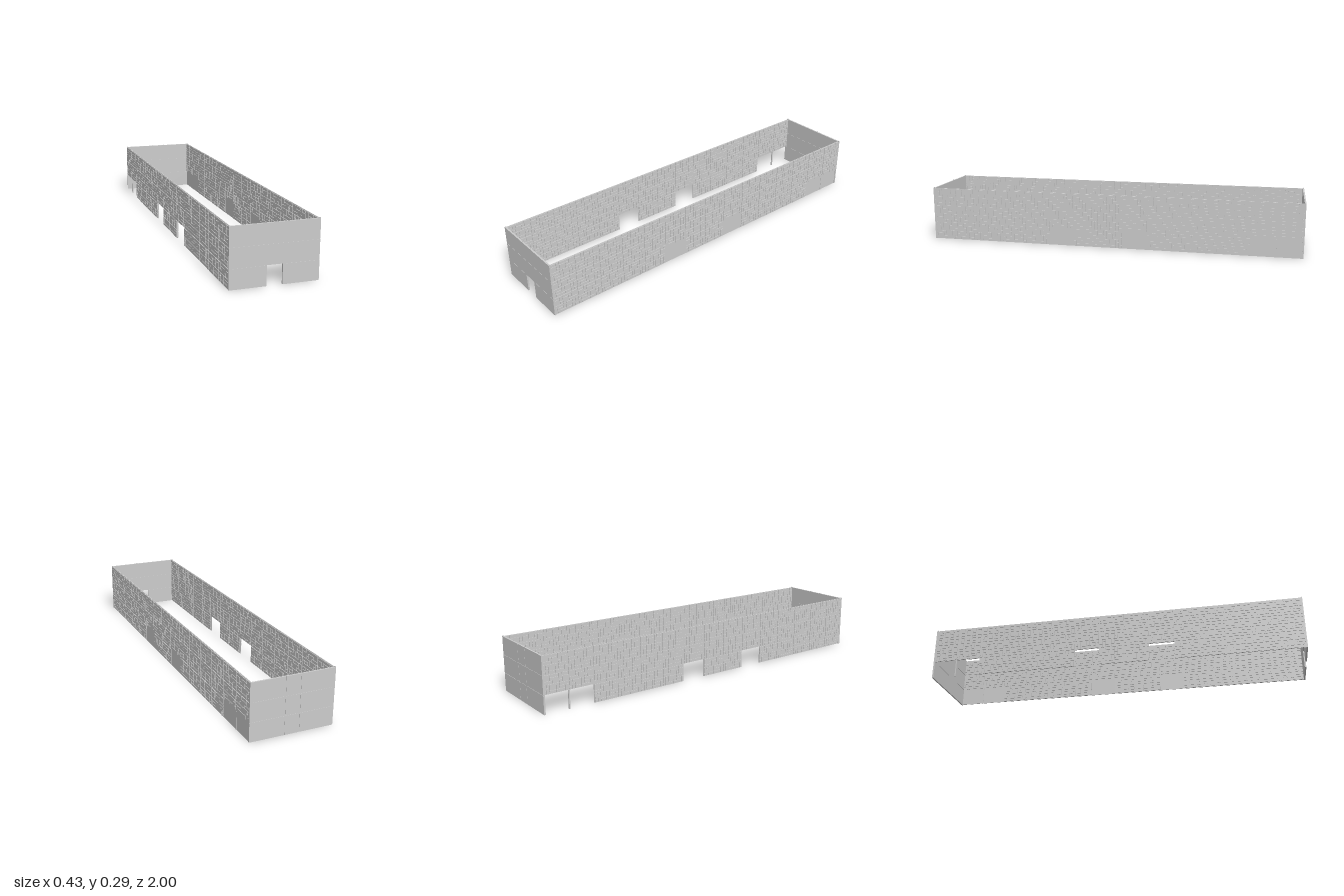
import * as THREE from 'three';
import { mergeGeometries } from 'three/addons/utils/BufferGeometryUtils.js';

const material = new THREE.MeshStandardMaterial({ color: 0xcccccc, flatShading: true });

const HALF_X = 0.2125, HEIGHT = 0.285;      // outer half width, wall height
const COLS = 15, ROWS = 3;                  // tiles along a side wall
const TILE_W = 2 / COLS, TILE_H = HEIGHT / ROWS;
const CORE_OUT = 0.209, CORE_IN = 0.2055, RELIEF = 0.0035;

// Stone layout of one tile: equal letters form one rectangular block
const LAYOUT = [
  'AABCCCDD',
  'EEBFFGDD',
  'EEHFFIII',
  'JJJKLLMN',
  'OPPKLLQN',
  'ORRRSSQT',
];

function box(x0, x1, y0, y1, z0, z1) {
  return new THREE.BoxGeometry(x1 - x0, y1 - y0, z1 - z0)
    .translate((x0 + x1) / 2, (y0 + y1) / 2, (z0 + z1) / 2);
}

function addMesh(group, name, boxes) {
  const mesh = new THREE.Mesh(mergeGeometries(boxes), material);
  mesh.name = name;
  group.add(mesh);
}

// Turn the letter layout into rectangles
function readBlocks() {
  const blocks = {};
  LAYOUT.forEach((line, r) => [...line].forEach((key, c) => {
    const b = blocks[key] ??= { c0: c, c1: c + 1, r0: r, r1: r + 1 };
    b.c1 = Math.max(b.c1, c + 1);
    b.r1 = Math.max(b.r1, r + 1);
  }));
  return Object.values(blocks);
}

// Bottom tiles left open, counted from the front
const isOpening = (col, row) => row === 0 && [5, 8, 13, 14].includes(col);

function makeSideWall(name, side, filled) {
  const wall = new THREE.Group();
  wall.name = name;
  const blocks = readBlocks();
  const cores = [], stones = [], panels = [];
  const cw = (TILE_W - 0.003) / LAYOUT[0].length;
  const ch = (TILE_H - 0.002) / LAYOUT.length;
  const gap = 0.0012;
  const across = (a, b) => side > 0 ? [a, b] : [-b, -a];

  for (let col = 0; col < COLS; col++) {
    for (let row = 0; row < ROWS; row++) {
      const z1 = 1 - col * TILE_W, z0 = z1 - TILE_W;
      const y0 = row * TILE_H, y1 = y0 + TILE_H;
      const core = box(...across(CORE_IN, CORE_OUT), y0, y1, z0, z1);
      if (isOpening(col, row)) {
        if (filled) panels.push(core);
        continue;
      }
      cores.push(core);
      // raised stones on the outer and the inner face
      for (const b of blocks) {
        const za = z1 - 0.0015 - b.c1 * cw + gap, zb = z1 - 0.0015 - b.c0 * cw - gap;
        const ya = y1 - 0.001 - b.r1 * ch + gap, yb = y1 - 0.001 - b.r0 * ch - gap;
        stones.push(box(...across(CORE_OUT, CORE_OUT + RELIEF), ya, yb, za, zb));
        stones.push(box(...across(CORE_IN - RELIEF, CORE_IN), ya, yb, za, zb));
      }
    }
  }
  addMesh(wall, 'wallCore', cores);
  addMesh(wall, 'stoneRelief', stones);
  if (panels.length) addMesh(wall, 'closedDoorPanels', panels);

  // slim post in the middle of the wide opening
  const zp = 1 - 14 * TILE_W;
  addMesh(wall, 'openingPost', [box(...across(CORE_IN - 0.002, CORE_OUT + 0.002), 0, TILE_H, zp - 0.003, zp + 0.003)]);
  return wall;
}

// Plain end wall of three rows and three columns of panels
function makeEndWall(name, side, hasDoor) {
  const wall = new THREE.Group();
  wall.name = name;
  const edges = [-HALF_X, -0.0375, 0.0375, HALF_X];
  const depth = (a, b) => side > 0 ? [a, b] : [-b, -a];
  const cores = [], panels = [], clips = [];
  const gap = 0.0008;

  for (let row = 0; row < ROWS; row++) {
    for (let col = 0; col < 3; col++) {
      if (hasDoor && row === 0 && col === 1) continue;
      const x0 = edges[col], x1 = edges[col + 1];
      const y0 = row * TILE_H, y1 = y0 + TILE_H;
      // the front has continuous rows, the back also shows upright joints
      const gl = !hasDoor && col > 0 ? gap : 0;
      const gr = !hasDoor && col < 2 ? gap : 0;
      const gb = row > 0 ? gap : 0, gt = row < ROWS - 1 ? gap : 0;
      cores.push(box(x0, x1, y0, y1, ...depth(0.9935, 0.9985)));
      panels.push(box(x0 + gl, x1 - gr, y0 + gb, y1 - gt, ...depth(0.9985, 1)));
      panels.push(box(x0, x1, y0 + gb, y1 - gt, ...depth(0.992, 0.9935)));
    }
  }
  // small clips standing on the top edge at the joints
  for (const x of [-0.2095, -0.039, 0.039, 0.2095]) {
    clips.push(box(x - 0.002, x + 0.002, HEIGHT, HEIGHT + 0.003, ...depth(0.994, 0.998)));
  }
  addMesh(wall, 'endWallCore', cores);
  addMesh(wall, 'endWallPanels', panels);
  addMesh(wall, 'topClips', clips);
  return wall;
}

export function createModel() {
  const model = new THREE.Group();
  model.name = 'walledEnclosure';
  model.add(
    makeSideWall('leftWall', 1, true),
    makeSideWall('rightWall', -1, false),
    makeEndWall('frontWall', 1, true),
    makeEndWall('backWall', -1, false),
  );
  return model;
}
